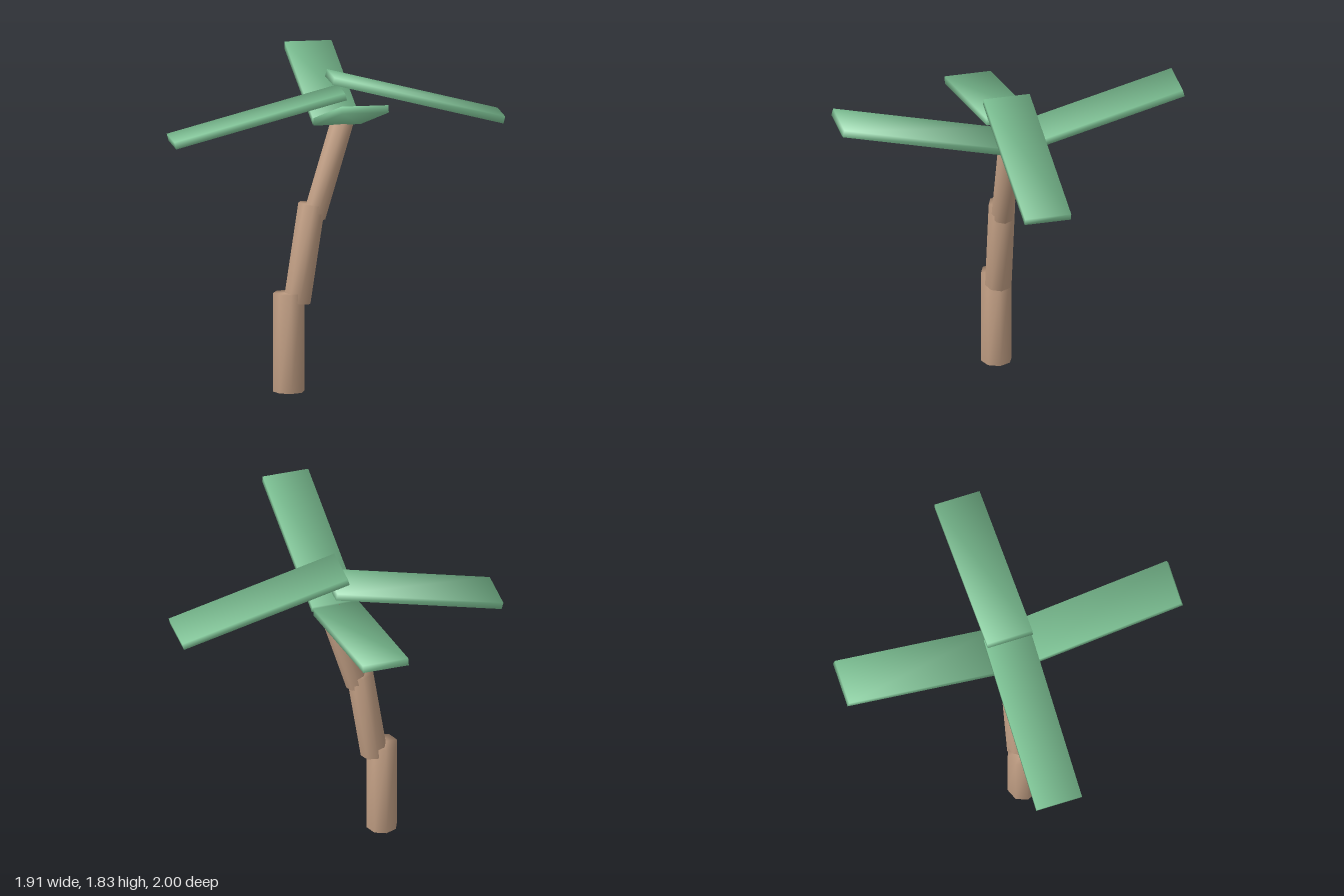
import * as THREE from 'three';
import { mergeVertices } from 'three/addons/utils/BufferGeometryUtils.js';

const bark = new THREE.MeshStandardMaterial({ color: 0xc4a186 });
const leaf = new THREE.MeshStandardMaterial({ color: 0x82c99a });

// Weld all corners so shading runs smoothly over every edge
function weld(geometry) {
  geometry.deleteAttribute('normal');
  geometry.deleteAttribute('uv');
  const welded = mergeVertices(geometry, 1e-4);
  welded.computeVertexNormals();
  return welded;
}

// Slab whose corner normals point diagonally outwards
function softSlab(length, thickness, width) {
  const geometry = weld(new THREE.BoxGeometry(length, thickness, width));
  const p = geometry.attributes.position;
  const n = geometry.attributes.normal;
  const k = 1 / Math.sqrt(3);
  for (let i = 0; i < p.count; i++) {
    n.setXYZ(i, Math.sign(p.getX(i)) * k, Math.sign(p.getY(i)) * k, Math.sign(p.getZ(i)) * k);
  }
  return geometry;
}

export function createModel() {
  const palm = new THREE.Group();
  palm.name = 'palmTree';

  // Trunk: three overlapping octagonal logs, leaning further towards the top
  const logs = [
    { name: 'lowerTrunk', r: 0.09, h: 0.57, x: -0.275, y: 0.285, lean: 0 },
    { name: 'middleTrunk', r: 0.078, h: 0.57, x: -0.185, y: 0.797, lean: 8.5 },
    { name: 'upperTrunk', r: 0.066, h: 0.565, x: -0.048, y: 1.277, lean: 16.5 },
  ];
  for (const { name, r, h, x, y, lean } of logs) {
    const log = new THREE.Mesh(weld(new THREE.CylinderGeometry(r, r, h, 8)), bark);
    log.name = name;
    log.position.set(x, y, 0);
    log.rotation.z = -THREE.MathUtils.degToRad(lean);
    palm.add(log);
  }

  // Fronds: side pair droops to the model's left and rises from its right,
  // front and back pair tilt upwards
  const slab = softSlab(1.015, 0.042, 0.27);
  const fronds = [
    { name: 'leftFrond', turn: 0, out: 0.453, y: 1.683, tilt: -14.5 },
    { name: 'rightFrond', turn: 180, out: 0.459, y: 1.592, tilt: -14.5 },
    { name: 'frontFrond', turn: -90, out: 0.504, y: 1.683, tilt: 14.5 },
    { name: 'backFrond', turn: 90, out: 0.504, y: 1.683, tilt: 14.5 },
  ];
  for (const { name, turn, out, y, tilt } of fronds) {
    const pivot = new THREE.Group();
    pivot.name = name;
    pivot.rotation.y = THREE.MathUtils.degToRad(turn);
    const blade = new THREE.Mesh(slab, leaf);
    blade.name = name + 'Blade';
    blade.position.set(out, y, 0);
    blade.rotation.z = THREE.MathUtils.degToRad(tilt);
    pivot.add(blade);
    palm.add(pivot);
  }

  return palm;
}
